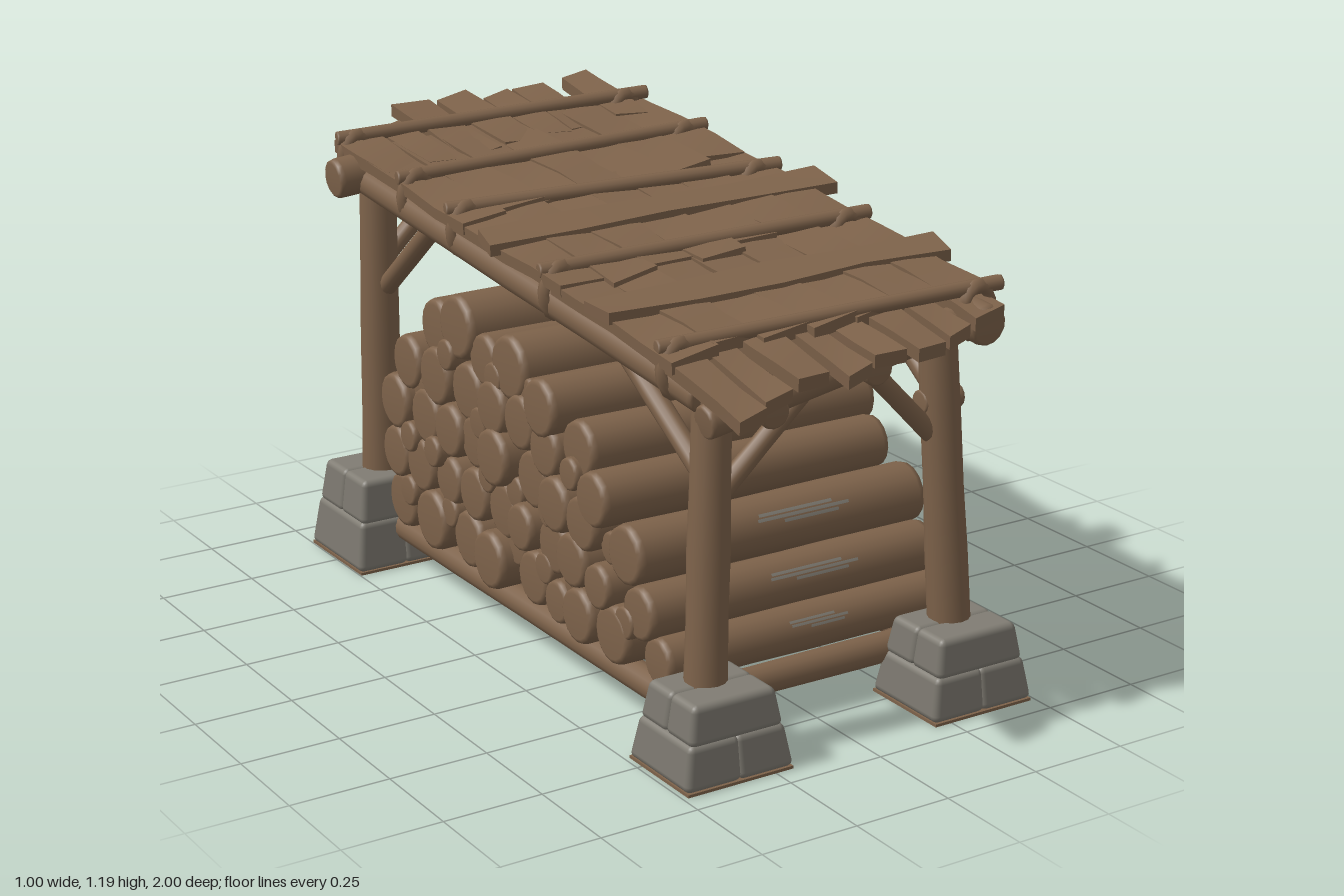
import * as THREE from 'three';
import { RoundedBoxGeometry } from 'three/addons/geometries/RoundedBoxGeometry.js';

const mat = (name, color) => Object.assign(new THREE.MeshStandardMaterial({ color }), { name });
const V = (x, y, z) => new THREE.Vector3(x, y, z);

export function createModel() {
  const wood = mat('wood', 0x7d624a);
  const stone = mat('stone', 0x807c73);
  const root = new THREE.Group();
  root.name = 'woodShed';

  let seed = 7;
  const rnd = (a = -1, b = 1) => {
    seed = (seed * 16807) % 2147483647;
    return a + (b - a) * (seed / 2147483647);
  };
  const group = (name) => {
    const g = new THREE.Group();
    g.name = name;
    root.add(g);
    return g;
  };
  const add = (parent, name, geo, m = wood) => {
    const mesh = new THREE.Mesh(geo, m);
    mesh.name = name;
    parent.add(mesh);
    return mesh;
  };

  // Round timber with softened ends and a slightly uneven girth
  const log = (parent, name, a, b, r0, r1 = r0, sides = 14) => {
    const len = a.distanceTo(b), h = len / 2, c = Math.min(r0 * 0.22, 0.014);
    const pts = [[0, -h], [r0 * 0.8, -h], [r0 * 0.95, -h + c * 0.4], [r0, -h + c * 1.4]];
    for (const t of [0.3, 0.5, 0.7]) pts.push([(r0 + (r1 - r0) * t) * rnd(0.96, 1.03), -h + len * t]);
    pts.push([r1, h - c * 1.4], [r1 * 0.95, h - c * 0.4], [r1 * 0.8, h], [0, h]);
    const geo = new THREE.LatheGeometry(pts.map((p) => new THREE.Vector2(...p)), sides);
    const mesh = add(parent, name, geo);
    mesh.position.lerpVectors(a, b, 0.5);
    mesh.quaternion.setFromUnitVectors(V(0, 1, 0), b.clone().sub(a).normalize());
  };

  // The roof plane falls to the front and to the model's right
  const roofY = (x, z) => 1.045 + 0.09 * x - 0.1 * z;
  const onRoof = (x, z, lift = 0) => V(x, roofY(x, z) + lift, z);
  const normal = V(-0.09, 1, 0.1).normalize();

  // Hand-hewn board lying on the roof plane from a to b
  const board = (parent, name, a, b, w, t) => {
    const len = a.distanceTo(b);
    const geo = new THREE.BoxGeometry(w, t, len, 1, 1, 4);
    const p = geo.attributes.position, k = rnd(0, 6);
    for (let i = 0; i < p.count; i++) {
      const x = p.getX(i), y = p.getY(i), z = p.getZ(i);
      p.setXYZ(i, x * (1 + 0.06 * Math.sin(z * 17 + k)),
        y + 0.005 * Math.sin(z * 9 + x * 20 + k),
        z + 0.012 * Math.sin(x * 40 + k) * Math.sign(z));
    }
    geo.computeVertexNormals();
    const mesh = add(parent, name, geo);
    const zAxis = b.clone().sub(a).normalize();
    const xAxis = normal.clone().cross(zAxis).normalize();
    mesh.quaternion.setFromRotationMatrix(
      new THREE.Matrix4().makeBasis(xAxis, zAxis.clone().cross(xAxis), zAxis));
    mesh.position.lerpVectors(a, b, 0.5);
  };

  // Stone footings: two tapering courses of paired blocks
  const footing = (cx, cz, w, d, h) => {
    const g = group('footing');
    g.position.set(cx, 0, cz);
    [[0.006, 0.56, 1], [0.53, 1, 0.87]].forEach(([lo, hi, scale], tier) => {
      for (const s of [-1, 1]) {
        const alongX = tier === 0;
        const y0 = tier ? lo * h : lo, bh = hi * h - y0;
        const bw = w * scale * (alongX ? 0.52 : 1), bd = d * scale * (alongX ? 1 : 0.52);
        const geo = new RoundedBoxGeometry(bw, bh, bd, 2, 0.016);
        geo.translate(alongX ? s * w * scale * 0.245 : 0, y0 + bh / 2, alongX ? 0 : s * d * scale * 0.245);
        const p = geo.attributes.position;
        for (let i = 0; i < p.count; i++) {
          const f = 1 - 0.13 * (p.getY(i) - y0) / bh;
          p.setX(i, p.getX(i) * f);
          p.setZ(i, p.getZ(i) * f);
        }
        add(g, 'stoneBlock', geo, stone);
      }
    });
    const sole = add(g, 'footingSole', new THREE.BoxGeometry(w * 0.98, 0.007, d * 0.98));
    sole.position.y = 0.0035;
  };

  // Corner posts with footings and braces
  const frame = group('frame');
  for (const s of [-1, 1]) {
    footing(s * 0.345, 0.82, 0.29, 0.25, 0.2);
    footing(s * 0.36, -0.755, 0.28, 0.29, 0.245);
    log(frame, 'frontPost', V(s * 0.35, 0.12, 0.8), V(s * 0.31, roofY(s * 0.31, 0.76) - 0.06, 0.76), 0.052, 0.046);
    log(frame, 'backPost', V(s * 0.36, 0.15, -0.745), V(s * 0.34, roofY(s * 0.34, -0.76) - 0.04, -0.76), 0.055, 0.048);
    const dy = s * 0.03;
    log(frame, 'frontSideBrace', V(s * 0.33, 0.7 + dy, 0.77), V(s * 0.34, 0.92 + dy, 0.44), 0.026);
    log(frame, 'backSideBrace', V(s * 0.34, 0.76 + dy, -0.74), V(s * 0.35, 1.0 + dy, -0.44), 0.026);
    log(frame, 'frontBrace', V(s * 0.31, 0.63 + dy * 0.5, 0.77), V(s * 0.07, 0.865 + dy * 0.8, 0.78), 0.024);
    log(frame, 'backBrace', V(s * 0.33, 0.82 + dy * 0.5, -0.76), V(s * 0.09, 1.04 + dy * 0.6, -0.78), 0.024);
    log(frame, 'floorRail', V(s * 0.35, 0.105, 0.76), V(s * 0.35, 0.105, -0.72), 0.037);
  }
  log(frame, 'bracePeg', V(0.27, 0.735, 0.755), V(0.385, 0.735, 0.755), 0.03);

  // Cross beams under the roof and at floor level
  log(frame, 'frontBeam', V(-0.36, 0.815, 0.8), V(0.41, 0.945, 0.8), 0.041);
  log(frame, 'backBeam', V(-0.455, 1.03, -0.79), V(0.425, 1.105, -0.79), 0.052);
  log(frame, 'frontFloorBeam', V(-0.36, 0.105, 0.69), V(0.36, 0.105, 0.69), 0.037);
  log(frame, 'backFloorBeam', V(-0.36, 0.105, -0.68), V(0.36, 0.105, -0.68), 0.037);
  log(frame, 'floorWedge', V(-0.3, 0.032, 0.68), V(-0.14, 0.055, 0.67), 0.03);

  // Long beams carrying the roof: front x and z, drop, back x, radius
  for (const [xf, zf, drop, xb, r] of [[-0.22, 0.88, 0.105, -0.2, 0.038], [-0.34, 0.78, 0.07, -0.36, 0.042],
    [0.06, 0.88, 0.08, 0.08, 0.038], [0.37, 0.88, 0.055, 0.37, 0.05]])
    log(frame, 'roofBeam', onRoof(xf, zf, -drop), onRoof(xb, -0.86, -0.07), r);

  // Stacked logs, row by row: height, then [z, radius, rise above the row]
  const rows = [
    [0.215, [[0.66, 0.058, -0.015], [0.5, 0.073], [0.36, 0.07], [0.23, 0.055, -0.015], [0.1, 0.07],
      [-0.06, 0.075], [-0.21, 0.075], [-0.38, 0.08], [-0.55, 0.074]]],
    [0.345, [[0.6, 0.066, -0.045], [0.45, 0.056, -0.025], [0.33, 0.068], [0.2, 0.07, -0.015], [0.08, 0.06],
      [-0.04, 0.072], [-0.18, 0.07], [-0.3, 0.064], [-0.44, 0.072], [-0.57, 0.07]]],
    [0.49, [[0.53, 0.074, -0.07], [0.37, 0.068, -0.04], [0.25, 0.07, -0.03], [0.1, 0.074, -0.02],
      [-0.04, 0.074], [-0.16, 0.068], [-0.27, 0.07], [-0.4, 0.074], [-0.55, 0.074]]],
    [0.61, [[0.42, 0.068, -0.085], [0.31, 0.072], [0.19, 0.067, -0.035], [0.07, 0.07], [-0.06, 0.07],
      [-0.2, 0.075], [-0.35, 0.077], [-0.49, 0.072]]],
    [0.73, [[0.18, 0.073, -0.05], [0.01, 0.082], [-0.13, 0.066, -0.02], [-0.245, 0.083, 0.035], [-0.37, 0.075]]],
  ];
  const pile = group('logPile');
  const stackLog = (name, y, z, r) => {
    const shift = rnd(-0.02, 0.02);
    log(pile, name, V(-0.41 + shift, y, z), V(0.41 + shift, y + rnd(-0.006, 0.006), z), r, r * rnd(0.97, 1.03), 16);
  };
  for (const [y, logs] of rows)
    for (const [z, r, rise = 0] of logs) stackLog('stackedLog', y + rise, z, r);

  // Thin logs wedged in the gaps between rows
  const gaps = [
    [0.262, [0.55, 0.29, 0.16, 0.02, -0.295, -0.49]],
    [0.413, [0.46, 0.175, 0.02, -0.11, -0.345, -0.48]],
    [0.55, [0.3, -0.13, -0.43]],
    [0.685, [0.09, -0.06, -0.285]],
  ];
  for (const [y, zs] of gaps)
    for (const z of zs) stackLog('wedgedLog', y, z, 0.041);

  // Pale weathered streaks on the front logs
  for (const [z, y, r, x, len] of [[0.53, 0.42, 0.074, 0.06, 0.26], [0.6, 0.3, 0.066, 0.05, 0.25], [0.66, 0.2, 0.058, 0.03, 0.16]])
    for (const [k, part] of [0.8, 1, 0.6].entries()) {
      const geo = new THREE.CylinderGeometry(r * 1.03 + 0.003, r * 1.03 + 0.003, len * part, 4, 1, true, -0.72 + k * 0.15, 0.1);
      geo.rotateZ(-Math.PI / 2);
      add(pile, 'weatheredStreak', geo, stone).position.set(x + 0.02 * (k - 1), y, z);
    }

  // Roof boards: overlapping middle runs with ragged ends front and back
  const roof = group('roof');
  for (let i = 0; i < 7; i++) {
    const x = -0.34 + i * 0.117;
    [[0.76, 0.22], [0.3, -0.27], [-0.2, -0.78]].forEach(([z0, z1], j) =>
      board(roof, 'roofBoard', onRoof(x, z0 + rnd(-0.03, 0.03), 0.004 * (i % 2)), onRoof(x + rnd(-0.008, 0.008), z1, -0.012 + 0.004 * (j % 2)), 0.122, 0.03));
  }
  const ends = [
    [-0.35, 0.98, 0.085], [-0.255, 0.94, 0.075], [-0.155, 0.93, 0.09], [-0.045, 0.95, 0.075],
    [0.045, 0.94, 0.07], [0.145, 0.96, 0.085], [0.245, 0.93, 0.075], [0.36, 0.89, 0.1],
    [-0.34, -0.9, 0.11], [-0.23, -0.91, 0.08], [-0.115, -0.99, 0.105], [0.005, -0.99, 0.1],
    [0.115, -0.94, 0.085], [0.215, -0.94, 0.09], [0.375, -0.96, 0.085],
  ];
  for (const [x, z, w] of ends) {
    const s = Math.sign(z);
    const inner = x - (s < 0 ? 0.1 * Math.max(x, 0) : 0);
    // Front ends sag, most of all on the low side
    const sag = s > 0 ? 0.024 + 0.04 * Math.max(0, -x) : 0;
    board(roof, 'endBoard', onRoof(inner, s * 0.6, -0.012), onRoof(x, z, rnd(-0.012, 0.006) - sag), w, 0.034);
  }

  // Wide planks laid across the roof
  board(roof, 'crossPlank', onRoof(-0.42, -0.07, 0.014), onRoof(0.49, 0.075, 0.008), 0.11, 0.03);
  board(roof, 'crossPlank', onRoof(-0.41, 0.43, 0.014), onRoof(0.48, 0.56, 0.004), 0.11, 0.03);

  // Short boards poking out along the high side
  for (const z of [-0.57, -0.42, -0.25, -0.08, 0.2, 0.35, 0.7])
    board(roof, 'edgeBoard', onRoof(0.2, z - 0.04, -0.022), onRoof(0.435 + rnd(-0.01, 0.01), z, -0.022), 0.09, 0.02);

  // Battens lashed to the outer beams
  for (const [z0, z1] of [[-0.87, -0.69], [-0.54, -0.4], [-0.29, -0.06], [0.16, 0.32], [0.67, 0.83]]) {
    log(roof, 'batten', onRoof(-0.4, z0, 0.018), onRoof(0.44, z1, 0.018), 0.019, 0.019, 8);
    for (const x of [-0.35, 0.375]) {
      const z = z0 + (z1 - z0) * (x + 0.4) / 0.84;
      const tie = add(roof, 'lashing', new THREE.TorusGeometry(0.053, 0.015, 6, 14));
      tie.scale.set(0.8, 1.15, 1.3);
      tie.position.copy(onRoof(x, z, -0.038));
      tie.rotation.x = 0.1;
    }
  }
  return root;
}
